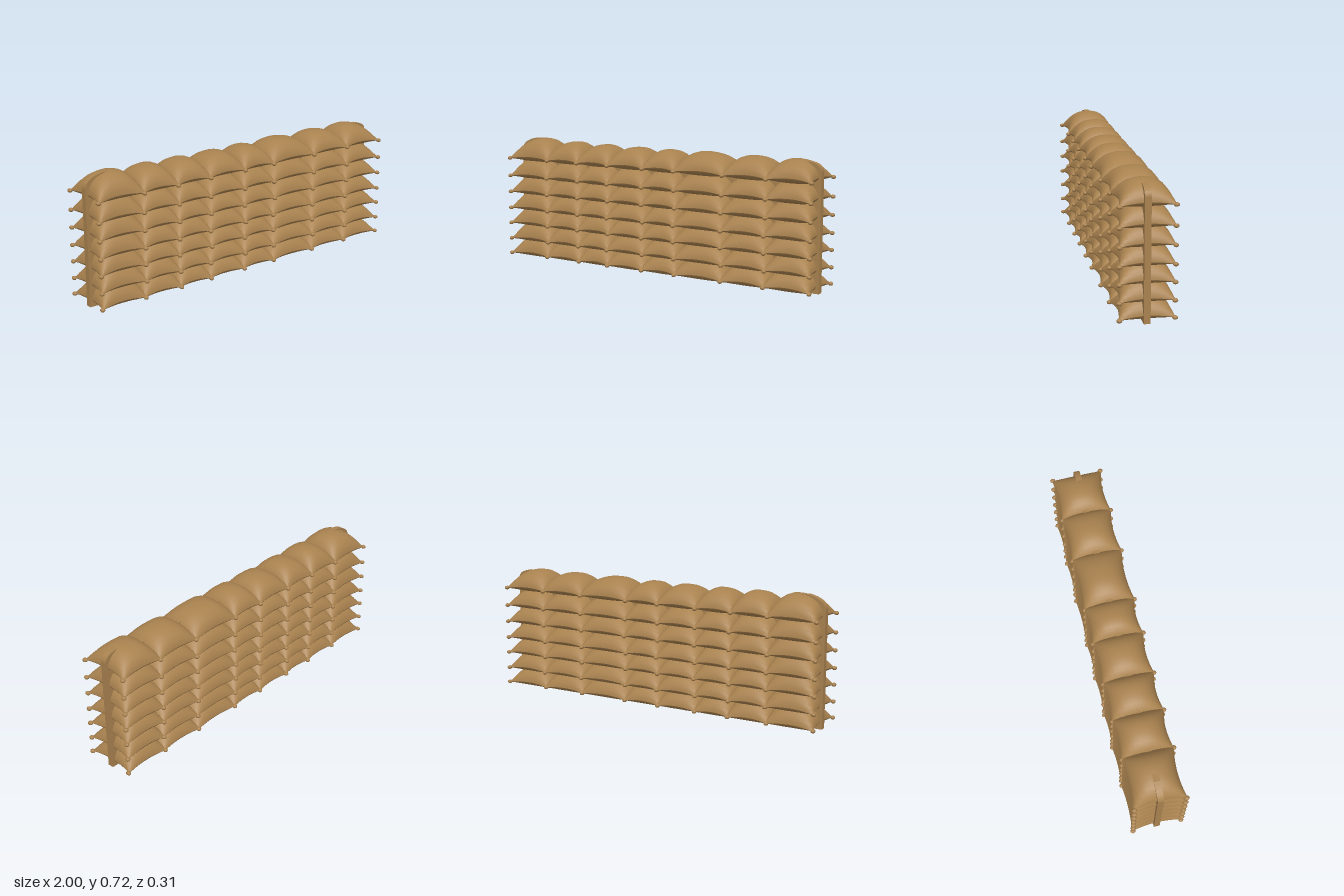
import * as THREE from 'three';

const burlap = new THREE.MeshStandardMaterial({ color: 0xa9824f });
burlap.name = 'burlap';

// Positions of the vertical seams, the height of each course, and the crown of each column
const SEAMS = [-0.985, -0.71, -0.49, -0.28, -0.045, 0.165, 0.46, 0.72, 0.985];
const COURSES = [0.025, 0.115, 0.21, 0.302, 0.4, 0.498, 0.604];
const CROWNS = [0.104, 0.096, 0.092, 0.09, 0.09, 0.094, 0.091, 0.091];
const HALF_DEPTH = 0.145;

let seed = 7;
function jitter(amount) {
  seed = (seed * 16807) % 2147483647;
  return (seed / 2147483647 - 0.5) * 2 * amount;
}

const puff = (t) => Math.pow(Math.max(0, 1 - Math.pow(Math.abs(t), 2.5)), 0.6);

// A stuffed pillow: a domed top and a shallow belly meeting at a sharp seam
function bagGeometry(x0, x1, y, crown, endSide) {
  const NU = 16, NV = 14;
  const cx = (x0 + x1) / 2, hw = (x1 - x0) / 2;
  const lean = jitter(0.1);
  const pos = [], index = [];
  for (const side of [1, -1]) {
    const base = pos.length / 3;
    for (let i = 0; i <= NU; i++) {
      const u = Math.sin((i / NU - 0.5) * Math.PI);
      for (let j = 0; j <= NV; j++) {
        const v = Math.sin((j / NV - 0.5) * Math.PI);
        // the edges pull in between the corners
        const pullZ = (v > 0 ? 0.02 : 0.01) * (1 - u * u);
        const pullX = u * endSide > 0 ? 0.015 * (1 - v * v) * u : 0;
        const swell = puff(u) * puff(v) * (side > 0 ? crown * (1 + lean * u * (1 - u * u)) : -0.038);
        const rise = 0.013 * (1 - u * u * v * v);
        pos.push(cx + hw * u - pullX, Math.max(0.003, y + rise + swell), v * (HALF_DEPTH - pullZ));
        if (i < NU && j < NV) {
          const a = base + i * (NV + 1) + j, b = a + NV + 1;
          if (side > 0) index.push(a, a + 1, b, b, a + 1, b + 1);
          else index.push(a, b, a + 1, b, b + 1, a + 1);
        }
      }
    }
  }
  const geo = new THREE.BufferGeometry();
  geo.setAttribute('position', new THREE.Float32BufferAttribute(pos, 3));
  geo.setIndex(index);
  geo.computeVertexNormals();
  return geo;
}

// Flat web running through the middle, showing at both ends, on top and underneath
function centreWeb() {
  const s = new THREE.Shape();
  s.moveTo(-0.985, 0);
  s.lineTo(0.985, 0);
  s.lineTo(0.985, 0.65);
  s.quadraticCurveTo(0.98, 0.69, 0.92, 0.698);
  s.lineTo(0.86, 0.7);
  s.lineTo(0.8, 0.66);
  s.lineTo(-0.78, 0.66);
  s.lineTo(-0.83, 0.72);
  s.lineTo(-0.89, 0.72);
  s.quadraticCurveTo(-0.98, 0.7, -0.985, 0.65);
  const geo = new THREE.ExtrudeGeometry(s, { depth: 0.034, bevelEnabled: false, curveSegments: 8 });
  geo.translate(0, 0, -0.017);
  const mesh = new THREE.Mesh(geo, burlap);
  mesh.name = 'centreWeb';
  return mesh;
}

export function createModel() {
  const wall = new THREE.Group();
  wall.name = 'sandbagWall';
  const knotGeo = new THREE.SphereGeometry(0.013, 10, 8);

  COURSES.forEach((y, row) => {
    const course = new THREE.Group();
    course.name = `course${row + 1}`;
    const shifts = SEAMS.map((x, i) => (i % 8 === 0 ? 0 : jitter(0.006)));

    // Bags, overlapping a little at the inner seams
    for (let c = 0; c < 8; c++) {
      const endSide = c === 0 ? -1 : c === 7 ? 1 : 0;
      const x0 = SEAMS[c] + shifts[c] - (c > 0 ? 0.01 : 0);
      const x1 = SEAMS[c + 1] + shifts[c + 1] + (c < 7 ? 0.01 : 0);
      const bag = new THREE.Mesh(bagGeometry(x0, x1, y, CROWNS[c], endSide), burlap);
      bag.name = 'sandbag';
      course.add(bag);
    }

    // Tied corners at every seam, front and back
    SEAMS.forEach((x, i) => {
      for (const side of [1, -1]) {
        const knot = new THREE.Mesh(knotGeo, burlap);
        knot.name = 'cornerKnot';
        knot.position.set(x + shifts[i], y + 0.001, side * 0.14);
        knot.scale.set(1, 0.85, 1.15);
        course.add(knot);
      }
    });
    wall.add(course);
  });

  wall.add(centreWeb());
  return wall;
}
